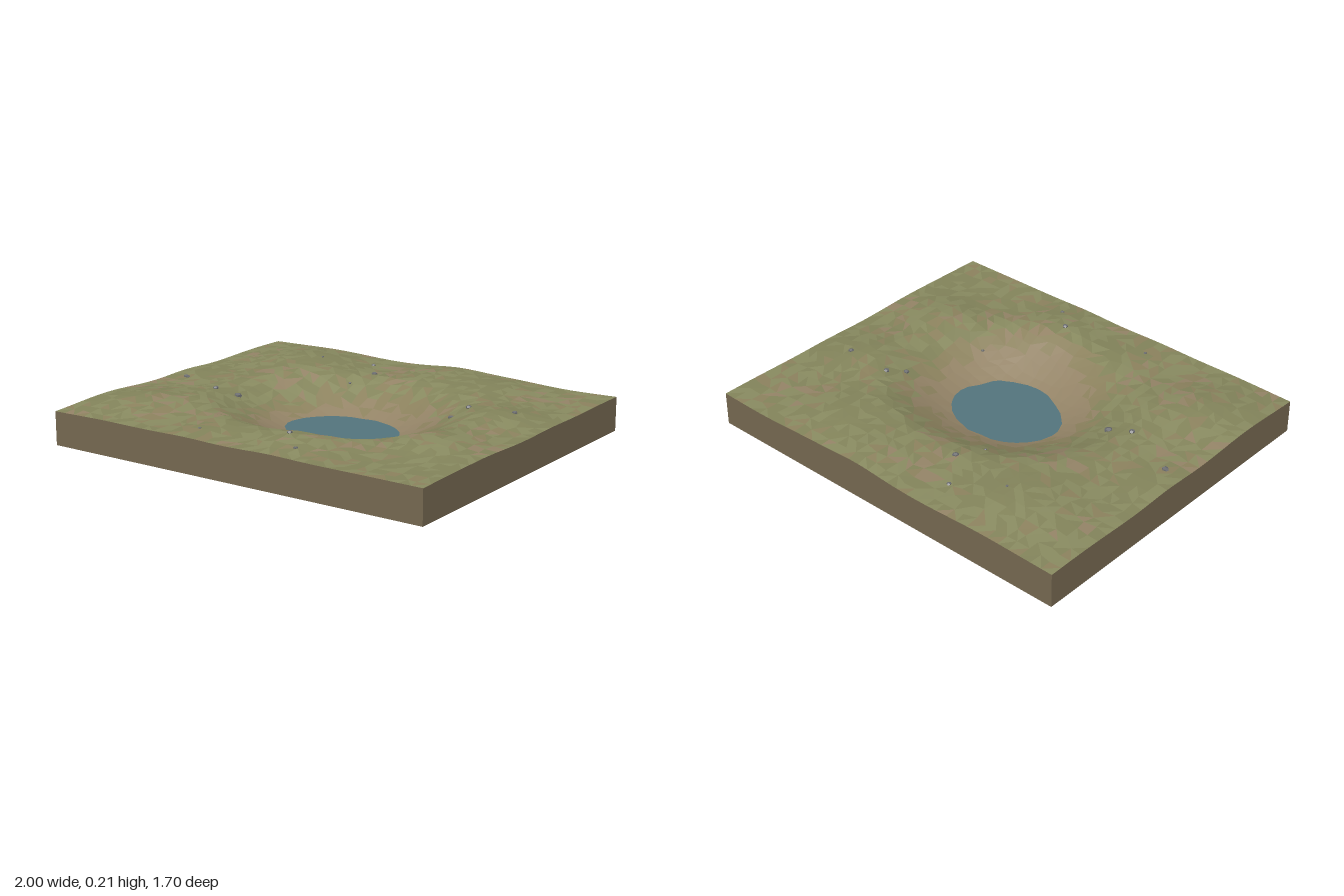
import * as THREE from 'three';

const HALF_X = 1, HALF_Z = 0.85, NX = 34, NZ = 29, WATER_Y = 0.05;

// Gentle hills: x, z, height, radius
const HILLS = [
  [-0.56, -0.56, 0.052, 0.27], [-0.72, 0.5, 0.046, 0.23], [0.46, -0.6, 0.04, 0.23],
  [0.73, 0.34, 0.038, 0.18], [0.14, -0.72, 0.026, 0.18], [0.78, -0.2, 0.03, 0.18],
  [-0.92, -0.08, 0.018, 0.18], [0.22, 0.66, 0.026, 0.16], [-0.24, 0.7, 0.012, 0.16],
];

// Shoreline corners: x, z
const SHORE = [
  [-0.26, -0.04], [-0.25, -0.09], [-0.2, -0.13], [-0.15, -0.17], [0, -0.18], [0.07, -0.19],
  [0.17, -0.16], [0.24, -0.12], [0.29, -0.09], [0.32, 0], [0.31, 0.07], [0.28, 0.12],
  [0.25, 0.2], [0.21, 0.24], [0.14, 0.275], [0.07, 0.28], [-0.02, 0.265], [-0.1, 0.225],
  [-0.16, 0.19], [-0.22, 0.13], [-0.25, 0.06],
];

// Stones: x, z, radius
const STONES = [
  [-0.27, -0.68, 0.013], [-0.5, -0.56, 0.008], [-0.15, -0.51, 0.016], [-0.2, -0.37, 0.008],
  [0.56, -0.23, 0.016], [0.8, -0.23, 0.014], [0.52, -0.14, 0.015], [-0.9, 0.03, 0.018],
  [-0.62, 0.15, 0.016], [-0.51, 0.12, 0.021], [0.41, 0.28, 0.009], [0.17, 0.62, 0.015],
  [-0.25, 0.72, 0.009], [0.29, 0.74, 0.011],
];

function seeded(seed) {
  return () => {
    seed = (seed * 16807) % 2147483647;
    return seed / 2147483647;
  };
}

// Distance from the middle of the oval basin
const basinRadius = (x, z) => Math.hypot(x - 0.035, (z - 0.045) * 1.22);

function groundHeight(x, z) {
  let h = 0.162 + 0.006 * Math.sin(x * 6 + 4.2) * Math.cos(z * 5 + 0.6);
  for (const [hx, hz, a, r] of HILLS) {
    h += a * Math.exp(-((x - hx) ** 2 + (z - hz) ** 2) / (r * r));
  }
  // Raised lip, then the hollow that holds the water
  const r = basinRadius(x, z);
  h += 0.014 * Math.exp(-(((r - 0.66) / 0.14) ** 2));
  return THREE.MathUtils.lerp(0.018, h, THREE.MathUtils.smoothstep(r, 0.12, 0.68));
}

function facetMesh(name, points, color) {
  const geometry = new THREE.BufferGeometry().setFromPoints(points);
  geometry.computeVertexNormals();
  const mesh = new THREE.Mesh(geometry, new THREE.MeshStandardMaterial({ color, flatShading: true }));
  mesh.name = name;
  return mesh;
}

export function createModel() {
  const group = new THREE.Group();
  group.name = 'pondTerrain';
  const random = seeded(4127);

  // Ground grid, jittered away from the border
  const grid = [];
  for (let j = 0; j <= NZ; j++) {
    const row = [];
    for (let i = 0; i <= NX; i++) {
      const inside = i > 0 && i < NX && j > 0 && j < NZ ? 0.022 : 0;
      const x = -HALF_X + (2 * HALF_X * i) / NX + (random() - 0.5) * inside;
      const z = -HALF_Z + (2 * HALF_Z * j) / NZ + (random() - 0.5) * inside;
      row.push(new THREE.Vector3(x, groundHeight(x, z), z));
    }
    grid.push(row);
  }

  // Sort facets into grass, dry grass and bare earth
  const ground = {
    grass: { color: 0x82835a, points: [] },
    lightGrass: { color: 0x888a60, points: [] },
    dryGrass: { color: 0x8b815d, points: [] },
    bareEarth: { color: 0x938366, points: [] },
  };
  const addFacet = (a, b, c) => {
    const x = (a.x + b.x + c.x) / 3, z = (a.z + b.z + c.z) / 3;
    const r = Math.hypot(x - 0.07, z - 0.1) + (random() - 0.5) * 0.1;
    const pick = random() + 0.25 * Math.sin(x * 7 + 2) * Math.sin(z * 8);
    const kind = r < 0.39 || pick > 0.98 ? 'bareEarth' : r < 0.46 || pick > 0.82 ? 'dryGrass'
      : pick > 0.42 ? 'lightGrass' : 'grass';
    ground[kind].points.push(a, b, c);
  };
  for (let j = 0; j < NZ; j++) {
    for (let i = 0; i < NX; i++) {
      const a = grid[j][i], b = grid[j][i + 1], c = grid[j + 1][i], d = grid[j + 1][i + 1];
      if (random() < 0.5) {
        addFacet(a, c, b);
        addFacet(b, c, d);
      } else {
        addFacet(a, c, d);
        addFacet(a, d, b);
      }
    }
  }
  for (const [name, { color, points }] of Object.entries(ground)) {
    group.add(facetMesh(name, points, color));
  }

  // Soil block: walls down from the ground border, and a flat underside
  const border = [
    ...grid[NZ],
    ...grid.map((row) => row[NX]).reverse(),
    ...[...grid[0]].reverse(),
    ...grid.map((row) => row[0]),
  ];
  const walls = [];
  for (let k = 0; k < border.length - 1; k++) {
    const p = border[k], q = border[k + 1];
    if (p === q) continue;
    const pb = new THREE.Vector3(p.x, 0, p.z), qb = new THREE.Vector3(q.x, 0, q.z);
    walls.push(pb, qb, q, pb, q, p);
  }
  group.add(facetMesh('soilWalls', walls, 0x756850));

  const underside = new THREE.Mesh(
    new THREE.PlaneGeometry(2 * HALF_X, 2 * HALF_Z).rotateX(Math.PI / 2),
    new THREE.MeshStandardMaterial({ color: 0x756850 }),
  );
  underside.name = 'underside';
  group.add(underside);

  // Water surface
  const shore = new THREE.Shape(SHORE.map(([x, z]) => new THREE.Vector2(x * 1.02, -z * 1.02)));
  const water = new THREE.Mesh(
    new THREE.ShapeGeometry(shore).rotateX(-Math.PI / 2),
    new THREE.MeshStandardMaterial({ color: 0x53747c }),
  );
  water.name = 'water';
  water.position.y = WATER_Y;
  group.add(water);

  // Scattered stones, half sunk in the ground
  const stones = new THREE.Group();
  stones.name = 'stones';
  const stoneMaterial = new THREE.MeshStandardMaterial({ color: 0x6c6d70, flatShading: true });
  for (const [x, z, r] of STONES) {
    const stone = new THREE.Mesh(new THREE.DodecahedronGeometry(r, 0), stoneMaterial);
    stone.name = 'stone';
    stone.scale.set(1, 0.65, 0.9);
    stone.rotation.y = random() * Math.PI * 2;
    stone.position.set(x, groundHeight(x, z), z);
    stones.add(stone);
  }
  group.add(stones);

  return group;
}
